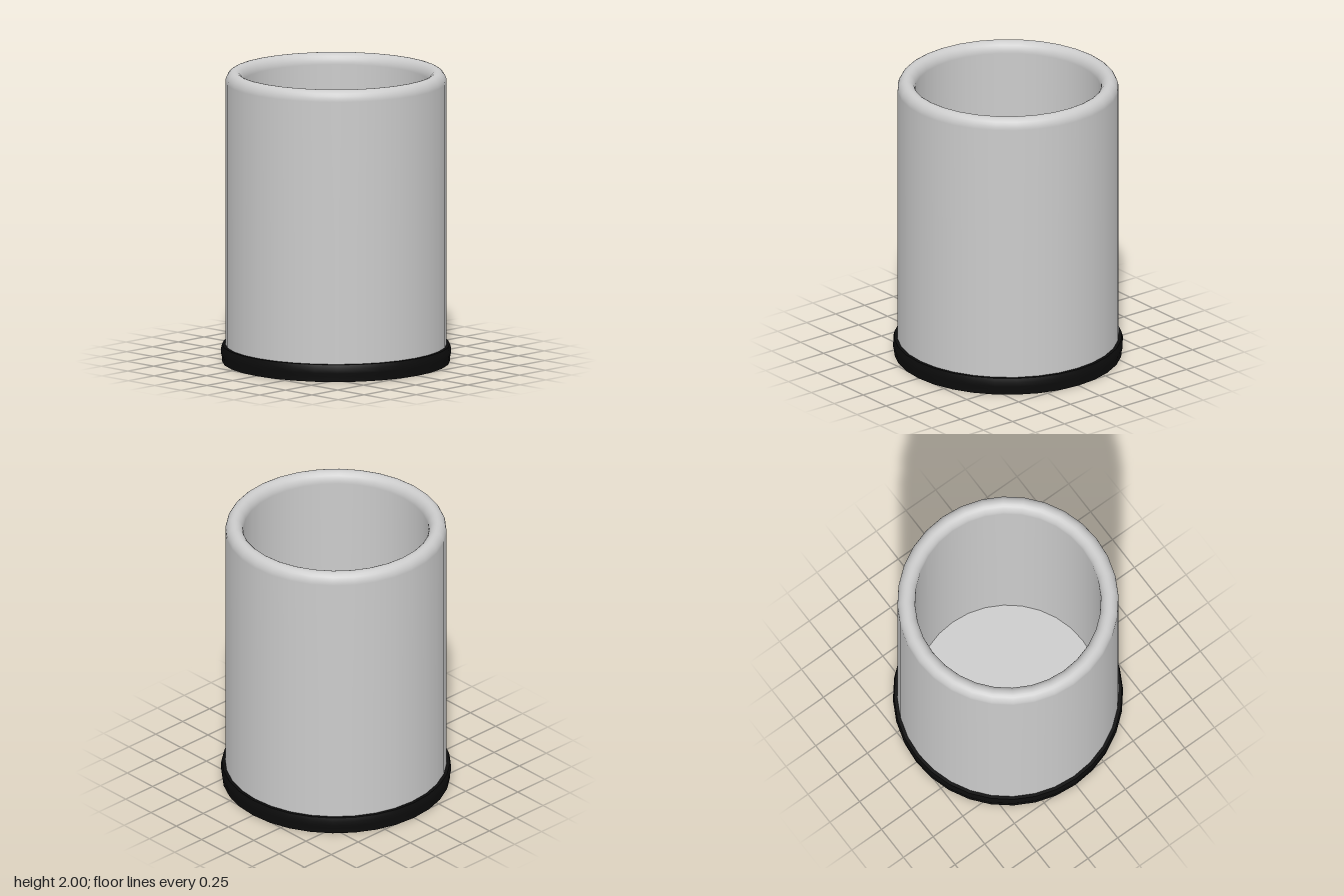
import * as THREE from 'three';

const SIDES = 32;
const grey = new THREE.MeshStandardMaterial({ color: 0xcccccc });
const black = new THREE.MeshStandardMaterial({ color: 0x0c0c0c });

export function createModel() {
  const group = new THREE.Group();

  function add(name, geometry, material) {
    const mesh = new THREE.Mesh(geometry, material);
    mesh.name = name;
    group.add(mesh);
  }
  const lathe = (points) =>
    new THREE.LatheGeometry(points.map(([r, y]) => new THREE.Vector2(r, y)), SIDES);
  // Flat disc at height y, facing up or down
  const disc = (radius, y, up) =>
    new THREE.CircleGeometry(radius, SIDES).rotateX(up ? -Math.PI / 2 : Math.PI / 2).translate(0, y, 0);

  // Cup wall: up the outside, over the rounded rim, down the inside
  const wall = [[0.75, 0.1], [0.75, 1.0]];
  const steps = 12;
  for (let i = 0; i <= steps; i++) {
    const a = (Math.PI * i) / steps;
    wall.push([0.69 + 0.06 * Math.cos(a), 1.925 + 0.075 * Math.sin(a)]);
  }
  wall.push([0.63, 1.0], [0.63, 0.12]);
  add('cupWall', lathe(wall), grey);
  add('cupFloor', disc(0.63, 0.12, true), grey);

  // Slightly bulging base band with flat top ledge and underside
  add('baseBand', lathe([[0.772, 0], [0.774, 0.035], [0.78, 0.06], [0.78, 0.09], [0.772, 0.118]]), black);
  add('baseLedge', new THREE.RingGeometry(0.7, 0.772, SIDES).rotateX(-Math.PI / 2).translate(0, 0.118, 0), black);
  add('baseUnderside', disc(0.772, 0, false), black);

  return group;
}
